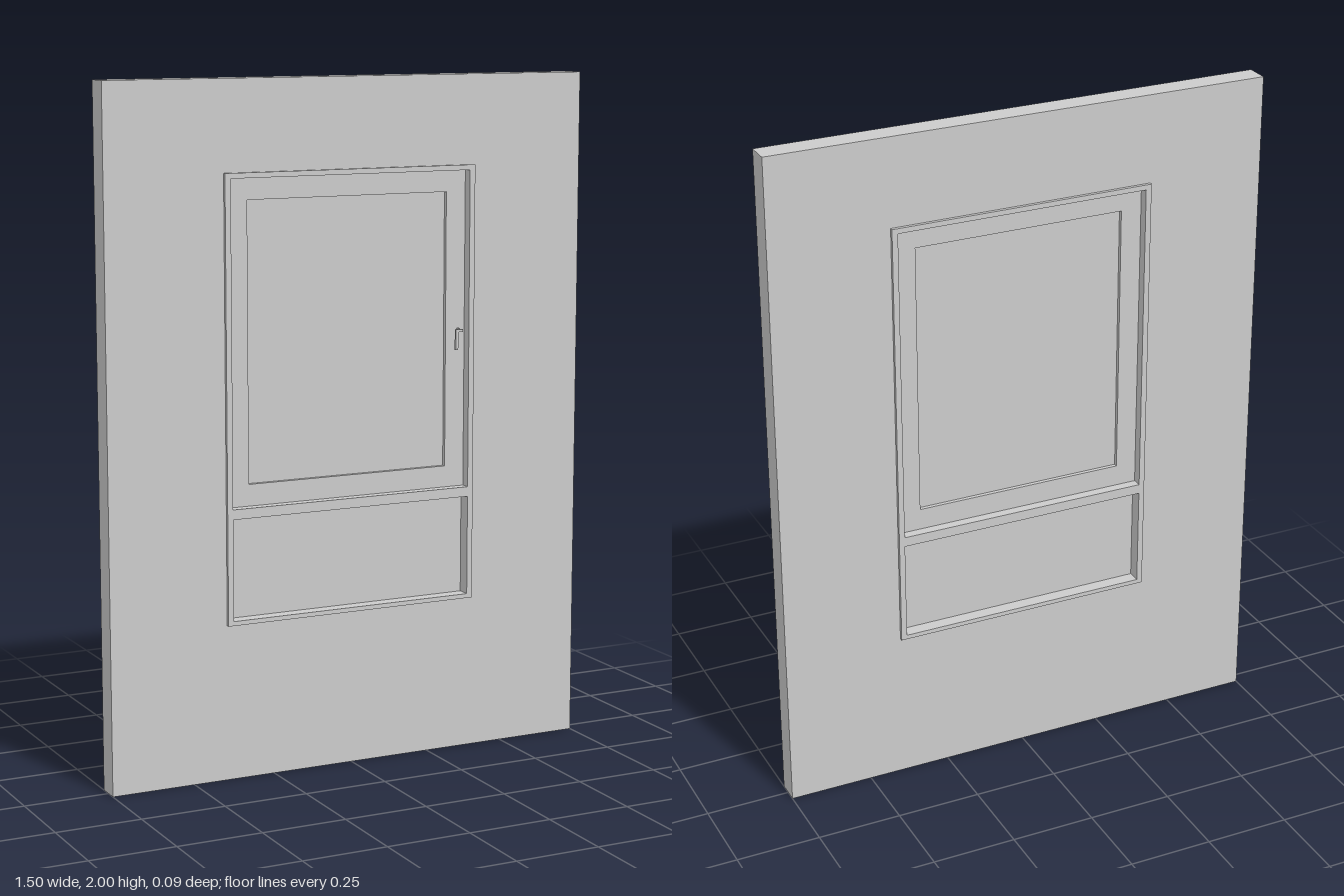
import * as THREE from 'three';

const material = new THREE.MeshStandardMaterial({ color: 0xcccccc, flatShading: true });
const smooth = new THREE.MeshStandardMaterial({ color: 0xcccccc });

// Traces a rectangle given as [x0, x1, y0, y1]
function trace(path, [x0, x1, y0, y1]) {
  path.moveTo(x0, y0);
  path.lineTo(x1, y0);
  path.lineTo(x1, y1);
  path.lineTo(x0, y1);
  path.closePath();
  return path;
}

// Rectangular slab with rectangular openings, centred on z = 0
function slab(name, outline, openings, depth) {
  const shape = trace(new THREE.Shape(), outline);
  shape.holes = openings.map((o) => trace(new THREE.Path(), o));
  const geometry = new THREE.ExtrudeGeometry(shape, { depth, bevelEnabled: false });
  geometry.translate(0, 0, -depth / 2);
  const mesh = new THREE.Mesh(geometry, material);
  mesh.name = name;
  return mesh;
}

// Lever handle: round rosette, short neck and a bent grip
function createHandle(z) {
  const handle = new THREE.Group();
  handle.name = 'handle';

  const rosette = new THREE.Mesh(new THREE.CylinderGeometry(0.006, 0.006, 0.005, 20), smooth);
  rosette.name = 'handleRosette';
  rosette.rotation.x = Math.PI / 2;
  rosette.position.set(0.357, 1.257, z + 0.002);

  const neck = new THREE.Mesh(new THREE.CylinderGeometry(0.004, 0.004, 0.02, 16), smooth);
  neck.name = 'handleNeck';
  neck.rotation.x = Math.PI / 2;
  neck.position.set(0.357, 1.257, z + 0.011);

  const arm = new THREE.Mesh(new THREE.BoxGeometry(0.024, 0.008, 0.007), smooth);
  arm.name = 'handleArm';
  arm.position.set(0.35, 1.257, z + 0.02);

  const grip = new THREE.Mesh(new THREE.BoxGeometry(0.008, 0.06, 0.007), smooth);
  grip.name = 'handleGrip';
  grip.position.set(0.342, 1.231, z + 0.02);

  handle.add(rosette, neck, arm, grip);
  return handle;
}

export function createModel() {
  const model = new THREE.Group();
  model.name = 'wallWithWindow';

  const frameOuter = [-0.395, 0.395, 0.455, 1.74];
  const upperOpening = [-0.378, 0.378, 0.792, 1.725];
  const lowerOpening = [-0.378, 0.378, 0.468, 0.763];
  const paneOpening = [-0.316, 0.316, 0.855, 1.662];
  const sashDepth = 0.032;

  model.add(
    // Wall with the window opening
    slab('wall', [-0.75, 0.75, 0, 2], [frameOuter], 0.07),
    // Frame with a crossbar, standing slightly proud on both faces
    slab('windowFrame', frameOuter, [upperOpening, lowerOpening], 0.09),
    // Upper sash and its pane
    slab('sash', upperOpening, [paneOpening], sashDepth),
    slab('upperPane', paneOpening, [], 0.008),
    // Fixed lower panel
    slab('lowerPane', lowerOpening, [], 0.01),
    createHandle(sashDepth / 2)
  );
  return model;
}
